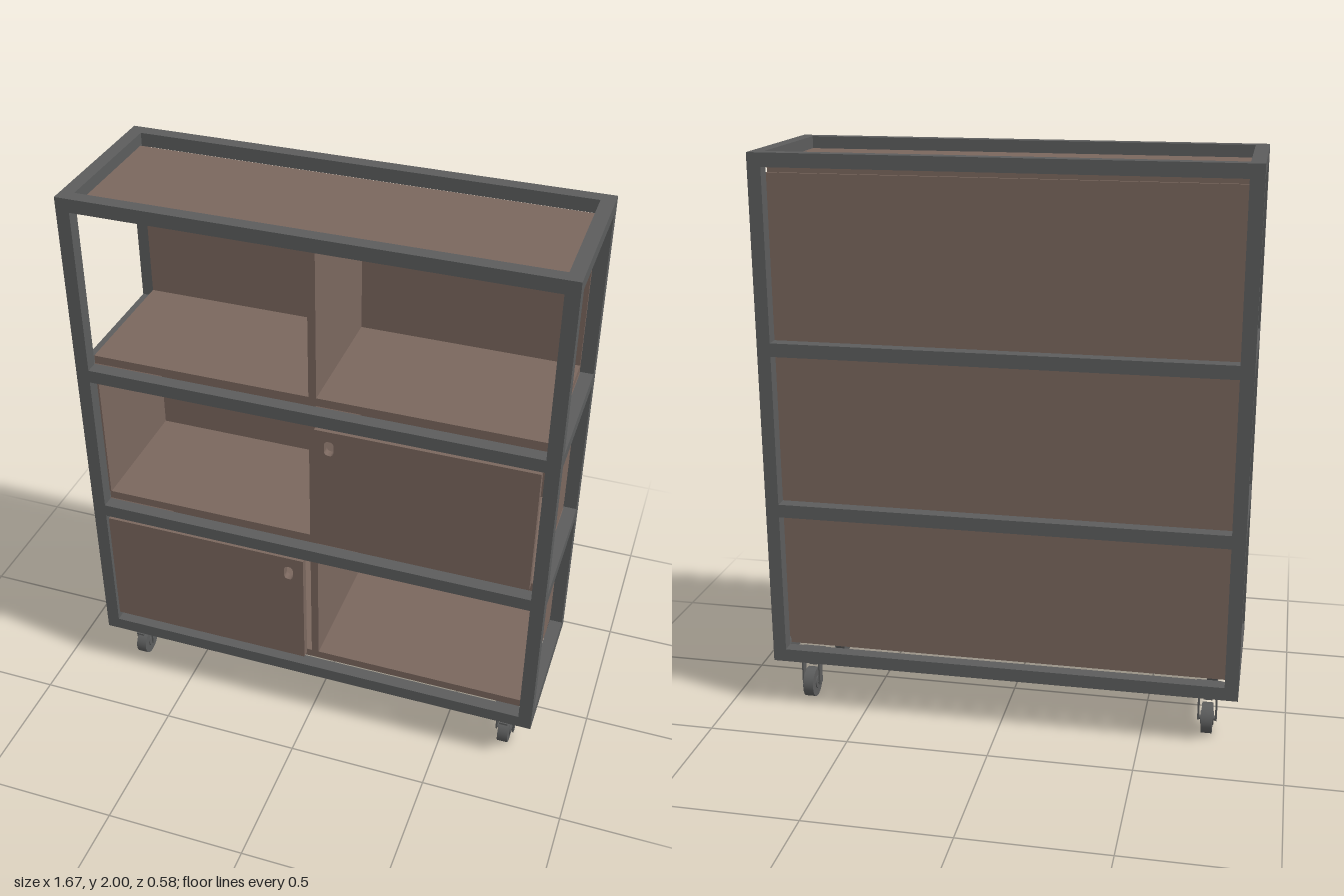
import * as THREE from 'three';

const wood = new THREE.MeshStandardMaterial({ color: 0x7a675e });
wood.name = 'brown wood';
const steel = new THREE.MeshStandardMaterial({ color: 0x5c5d5d });
steel.name = 'dark grey steel';

const X = 0.833, Z = 0.29, BAR = 0.047; // outer half sizes and bar thickness
const IX = X - BAR, IZ = Z - BAR; // inner half sizes
const LEVELS = [0.18, 0.737, 1.317, 1.953]; // undersides of the rails

// Box given by its minimum and maximum on each axis
function box(parent, name, material, x0, x1, y0, y1, z0, z1) {
  const mesh = new THREE.Mesh(new THREE.BoxGeometry(x1 - x0, y1 - y0, z1 - z0), material);
  mesh.position.set((x0 + x1) / 2, (y0 + y1) / 2, (z0 + z1) / 2);
  mesh.name = name;
  parent.add(mesh);
  return mesh;
}

// Cylinder standing on y, or lying along x
function cylinder(parent, name, r, length, x, y, z, alongX = false, sides = 28) {
  const mesh = new THREE.Mesh(new THREE.CylinderGeometry(r, r, length, sides), steel);
  if (alongX) mesh.rotation.z = Math.PI / 2;
  mesh.position.set(x, y, z);
  mesh.name = name;
  parent.add(mesh);
}

// Rounded rectangle outline, used for the finger holes
function roundedOutline(cx, cy, w, h, r) {
  const p = new THREE.Path();
  const a = w / 2 - r, b = h / 2 - r;
  p.absarc(cx + a, cy + b, r, 0, Math.PI / 2);
  p.absarc(cx - a, cy + b, r, Math.PI / 2, Math.PI);
  p.absarc(cx - a, cy - b, r, Math.PI, Math.PI * 1.5);
  p.absarc(cx + a, cy - b, r, Math.PI * 1.5, Math.PI * 2);
  p.closePath();
  return p;
}

// Door panel with a finger hole cut through it
function door(x0, x1, y0, y1, holeX, holeY) {
  const shape = new THREE.Shape([
    new THREE.Vector2(x0, y0), new THREE.Vector2(x1, y0),
    new THREE.Vector2(x1, y1), new THREE.Vector2(x0, y1),
  ]);
  shape.holes.push(roundedOutline(holeX, holeY, 0.033, 0.056, 0.014));
  const geometry = new THREE.ExtrudeGeometry(shape, { depth: 0.028, bevelEnabled: false, curveSegments: 6 });
  const mesh = new THREE.Mesh(geometry, wood);
  mesh.position.z = 0.26;
  mesh.name = 'door';
  return mesh;
}

// Swivel caster with fork, wheel and brake tab
function caster(x, z) {
  const g = new THREE.Group();
  g.name = 'caster';
  box(g, 'mountingPlate', steel, -0.043, 0.043, 0.172, 0.18, -0.04, 0.04);
  cylinder(g, 'swivelBearing', 0.03, 0.018, 0, 0.163, 0);
  box(g, 'forkBridge', steel, -0.034, 0.034, 0.145, 0.155, -0.022, 0.022);
  for (const s of [-1, 1]) {
    const leg = box(g, 'forkLeg', steel, -0.003, 0.003, 0.05, 0.15, -0.015, 0.015);
    leg.position.x = s * 0.031;
  }
  cylinder(g, 'axle', 0.008, 0.068, 0, 0.054, 0, true, 12);
  cylinder(g, 'tyre', 0.054, 0.038, 0, 0.054, 0, true);
  cylinder(g, 'hub', 0.024, 0.046, 0, 0.054, 0, true, 20);
  box(g, 'brakeTab', steel, -0.015, 0.015, 0.116, 0.124, 0.012, 0.052);
  g.position.set(x, 0, z);
  return g;
}

export function createModel() {
  const model = new THREE.Group();
  model.name = 'rollingShelf';

  // Steel frame: four posts and a ring of rails at each level
  const frame = new THREE.Group();
  frame.name = 'frame';
  model.add(frame);
  for (const s of [-1, 1]) {
    const [xa, xb] = s > 0 ? [IX, X] : [-X, -IX];
    for (const t of [-1, 1]) {
      const [za, zb] = t > 0 ? [IZ, Z] : [-Z, -IZ];
      box(frame, 'post', steel, xa, xb, 0.18, 2, za, zb);
    }
    for (const y of LEVELS) {
      box(frame, 'sideRail', steel, xa, xb, y, y + BAR, -IZ, IZ);
      const [za, zb] = s > 0 ? [IZ, Z] : [-Z, -IZ];
      box(frame, 'longRail', steel, -IX, IX, y, y + BAR, za, zb);
    }
  }

  // Shelves resting on rail height, and the top board
  const shelfBottoms = [0.229, 0.785, 1.365, 1.928];
  for (const y of shelfBottoms) {
    box(model, 'shelf', wood, -IX, IX, y, y + 0.03, -0.232, 0.24);
  }

  // Central dividers between shelves
  for (let i = 0; i < 3; i++) {
    box(model, 'divider', wood, -0.0135, 0.0135, shelfBottoms[i] + 0.03, shelfBottoms[i + 1], -0.232, 0.24);
  }

  // Back panel, short of the outermost boards
  box(model, 'backPanel', wood, -IX, IX, 0.257, 1.93, -IZ, -0.232);

  // Side panels on the lower two levels
  for (let i = 0; i < 2; i++) {
    for (const s of [-1, 1]) {
      const panel = box(model, 'sidePanel', wood, -0.004, 0.004, shelfBottoms[i] + 0.03, shelfBottoms[i + 1], -0.232, IZ);
      panel.position.x = s * (IX - 0.002);
    }
  }

  // Doors
  model.add(door(-0.778, -0.025, 0.265, 0.725, -0.08, 0.658));
  model.add(door(0.022, 0.776, 0.825, 1.305, 0.073, 1.238));

  // Casters
  for (const x of [-0.727, 0.727]) {
    for (const z of [-0.187, 0.19]) model.add(caster(x, z));
  }
  return model;
}
